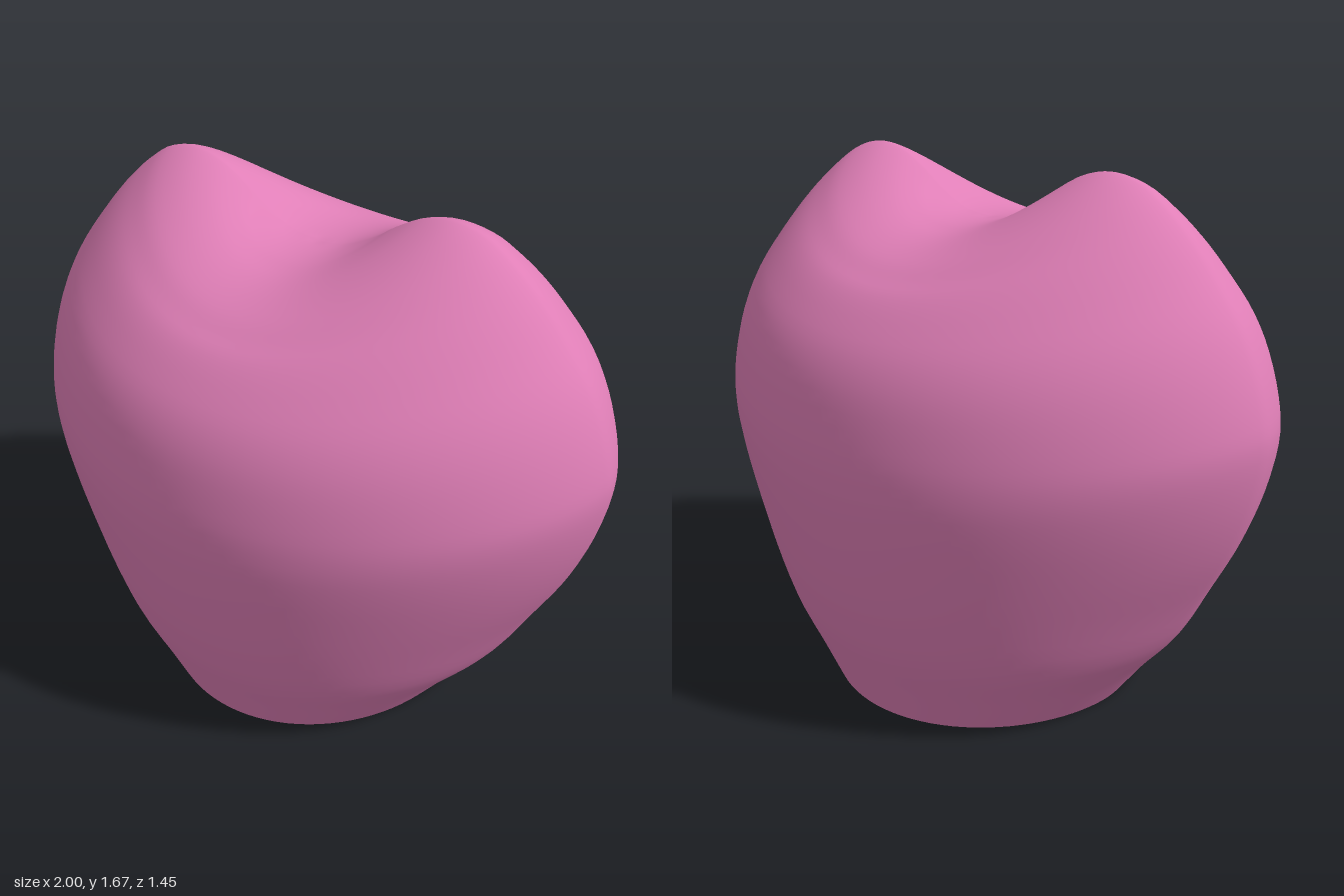
import * as THREE from 'three';

const SEG = 96, ROWS = 64, WALL = 0.06;

// Matched profiles from the bottom opening up to the centre of the dip:
// [side radius, side height, front radius, front height]
const PROFILE = [
  [0.52, 0, 0.535, 0], [0.62, 0.14, 0.583, 0.13], [0.73, 0.28, 0.635, 0.27],
  [0.82, 0.45, 0.68, 0.45], [0.91, 0.63, 0.708, 0.63], [0.97, 0.8, 0.722, 0.76],
  [1, 0.96, 0.725, 0.85], [0.99, 1.07, 0.718, 0.95], [0.95, 1.2, 0.69, 1.09],
  [0.89, 1.32, 0.645, 1.195], [0.8, 1.44, 0.58, 1.28], [0.72, 1.53, 0.52, 1.34],
  [0.64, 1.6, 0.465, 1.375], [0.56, 1.65, 0.405, 1.41], [0.46, 1.67, 0.33, 1.44],
  [0.36, 1.65, 0.26, 1.46], [0.27, 1.6, 0.195, 1.472], [0.2, 1.55, 0.145, 1.48],
  [0.1, 1.5, 0.07, 1.485], [0, 1.485, 0, 1.485],
];
const spline = (k) => new THREE.CatmullRomCurve3(
  PROFILE.map((p) => new THREE.Vector3(p[k], p[k + 1], 0)), false, 'catmullrom', 0.5);

function makeGeometry(positions, index) {
  const g = new THREE.BufferGeometry();
  g.setAttribute('position', new THREE.Float32BufferAttribute(positions, 3));
  g.setIndex(index);
  g.computeVertexNormals();
  return g;
}

// Rings that blend from the side profile to the front profile around y
function heartGeometry() {
  const side = spline(0), front = spline(2), pos = [], index = [];
  for (let j = 0; j < ROWS; j++) {
    const s = side.getPoint(j / ROWS), f = front.getPoint(j / ROWS);
    const lens = 1.1 + 0.15 * THREE.MathUtils.smoothstep(s.y, 0, 0.7);
    for (let i = 0; i < SEG; i++) {
      const a = (i / SEG) * Math.PI * 2, sn = Math.sin(a), m = Math.abs(sn);
      pos.push(s.x * Math.cos(a),
        THREE.MathUtils.lerp(s.y, f.y, m ** 1.7),
        f.x * Math.sign(sn) * m ** lens);
    }
  }
  const pole = ROWS * SEG;
  pos.push(0, PROFILE[PROFILE.length - 1][1], 0);
  for (let j = 0; j < ROWS; j++) {
    for (let i = 0; i < SEG; i++) {
      const n = (i + 1) % SEG, a = j * SEG + i, b = j * SEG + n;
      if (j === ROWS - 1) index.push(a, pole, b);
      else index.push(a, a + SEG, b, b, a + SEG, b + SEG);
    }
  }
  return makeGeometry(pos, index);
}

// Same surface moved inward along its normals and turned to face inside
function liningGeometry(outer) {
  const p = outer.attributes.position, n = outer.attributes.normal;
  const pos = Array.from(p.array, (v, k) => v - WALL * n.array[k]);
  const index = Array.from(outer.index.array).reverse();
  return makeGeometry(pos, index);
}

// Strip joining the outer and inner edges of the opening
function rimGeometry(outer, inner) {
  const pos = [], index = [];
  for (const g of [outer, inner]) pos.push(...g.attributes.position.array.slice(0, SEG * 3));
  for (let i = 0; i < SEG; i++) {
    const n = (i + 1) % SEG;
    index.push(i, n, SEG + i, n, SEG + n, SEG + i);
  }
  return makeGeometry(pos, index);
}

export function createModel() {
  const group = new THREE.Group();
  group.name = 'heart';
  const pink = new THREE.MeshStandardMaterial({ color: 0xe07fb7 });
  const rimPink = new THREE.MeshStandardMaterial({ color: 0xe07fb7, side: THREE.DoubleSide });

  const outer = heartGeometry();
  const inner = liningGeometry(outer);
  const add = (name, geometry, material) => {
    const mesh = new THREE.Mesh(geometry, material);
    mesh.name = name;
    group.add(mesh);
  };
  add('heartShell', outer, pink);
  add('innerLining', inner, pink);
  add('bottomRim', rimGeometry(outer, inner), rimPink);
  return group;
}
